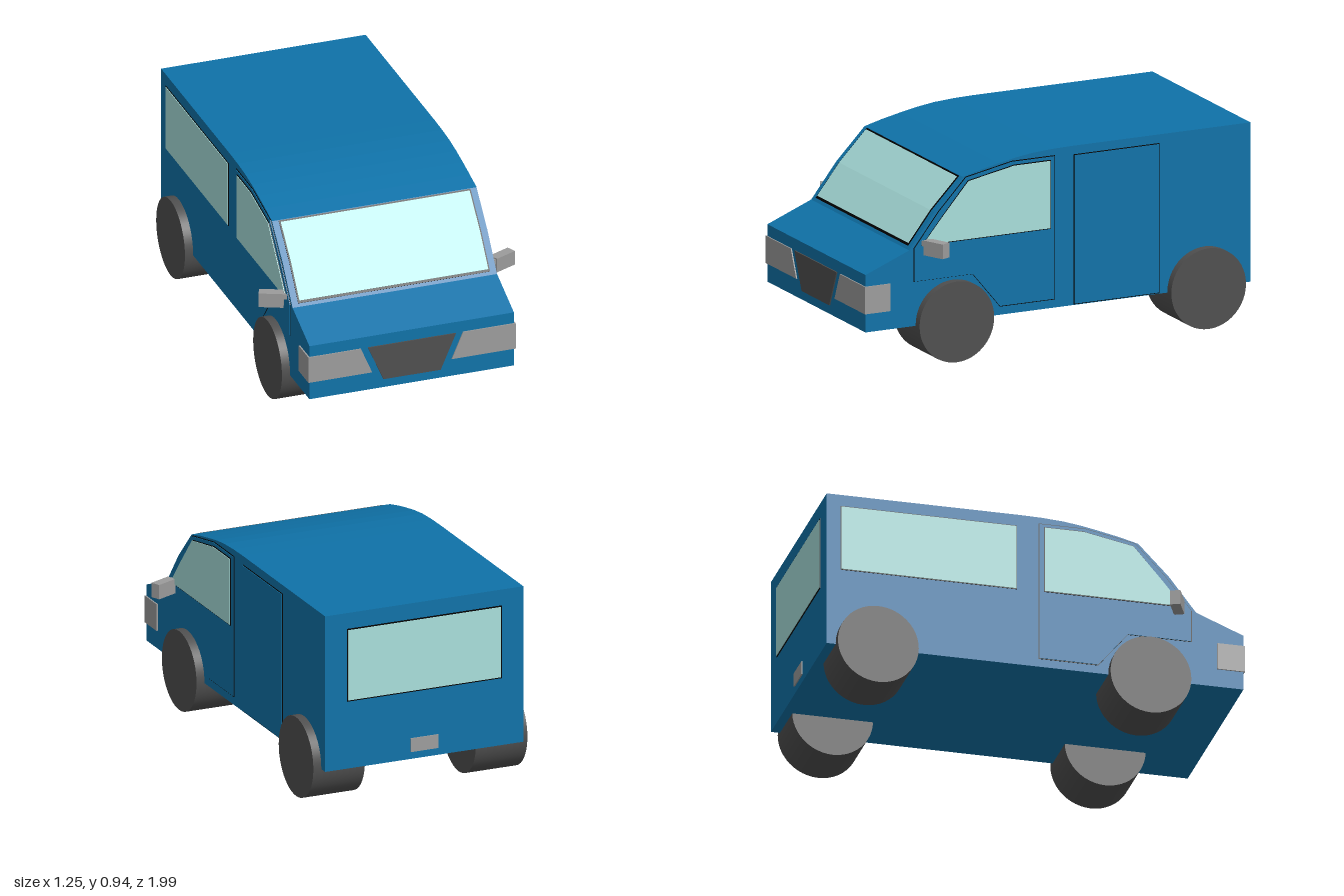
import * as THREE from 'three';

const mat = (color) => new THREE.MeshStandardMaterial({ color, flatShading: true });

// Polygon grown by w on each side of its bounding box
function grow(pts, w) {
  const axis = (i) => {
    const v = pts.map((p) => p[i]);
    const lo = Math.min(...v), hi = Math.max(...v);
    return [(lo + hi) / 2, (hi - lo + 2 * w) / (hi - lo)];
  };
  const [cx, sx] = axis(0), [cy, sy] = axis(1);
  return pts.map(([x, y]) => [cx + (x - cx) * sx, cy + (y - cy) * sy]);
}

// Prism from an (x, y) outline, spanning z0..z1
function prismZ(pts, z0, z1) {
  const shape = new THREE.Shape(pts.map(([x, y]) => new THREE.Vector2(x, y)));
  const geo = new THREE.ExtrudeGeometry(shape, { depth: z1 - z0, bevelEnabled: false });
  return geo.translate(0, 0, z0);
}

// Prism from a (z, y) outline, spanning x0..x1
const prismX = (pts, x0, x1) => prismZ(pts, -x1, -x0).rotateY(-Math.PI / 2);

const rect = (a0, b0, a1, b1) => [[a0, b0], [a1, b0], [a1, b1], [a0, b1]];

export function createModel() {
  const van = new THREE.Group();
  van.name = 'van';
  const blue = mat(0x0f72a8), glass = mat(0xa8dedb), black = mat(0x000000);
  const dark = mat(0x4f4f4f), grey = mat(0x9c9c9c);
  const add = (name, geo, material) => {
    const mesh = new THREE.Mesh(geo, material);
    mesh.name = name;
    van.add(mesh);
    return mesh;
  };

  // Body shell from the side profile
  const windscreenLine = [[0.765, 0.55], [0.636, 0.716], [0.49, 0.866]];
  add('body', prismX([
    [-0.99, 0.187], [0.99, 0.187], [0.99, 0.46], ...windscreenLine,
    [0.4, 0.889], [0.305, 0.909], [0.22, 0.925], [0.13, 0.937], [0.03, 0.943], [-0.07, 0.945], [-0.99, 0.945],
  ], -0.5, 0.5), blue);

  // Windscreen: thin strips that follow the profile
  const band = (line, t) => {
    const out = line.map(([z, y]) => [z + t * 0.75, y + t * 0.66]);
    return [...line, ...out.reverse()];
  };
  add('windscreenSeal', prismX(band([[0.755, 0.563], [0.636, 0.716], [0.492, 0.864]], 0.003), -0.469, 0.469), black);
  add('windscreen', prismX(band([[0.748, 0.572], [0.636, 0.716], [0.498, 0.858]], 0.006), -0.462, 0.462), glass);

  // Side panel on the +x or -x side, with a thin black gap around it
  const sidePanel = (name, pts, s, inner, material) => {
    const layer = (p, t) => (s > 0 ? prismX(p, 0.495, t) : prismX(p, -t, -0.495));
    add(name + 'Gap', layer(grow(pts, 0.004), inner), black);
    add(name, layer(pts, inner + 0.003), material);
  };
  const door = [[0.02, 0.23], [0.3, 0.23], [0.44, 0.4], [0.74, 0.4], [0.74, 0.555],
    [0.615, 0.715], [0.475, 0.862], [0.24, 0.908], [0.02, 0.908]];
  const doorWindow = [[0.045, 0.57], [0.7, 0.57], [0.6, 0.69], [0.465, 0.845], [0.23, 0.89], [0.045, 0.89]];

  for (const s of [-1, 1]) {
    const side = s > 0 ? 'left' : 'right';
    sidePanel(side + 'FrontDoor', door, s, 0.502, blue);
    sidePanel(side + 'FrontWindow', doorWindow, s, 0.508, glass);

    // Wheels
    for (const [end, z] of [['Front', 0.54], ['Rear', -0.755]]) {
      const wheel = add(side + end + 'Wheel', new THREE.CylinderGeometry(0.192, 0.192, 0.26, 48).rotateZ(Math.PI / 2),
        new THREE.MeshStandardMaterial({ color: 0x4f4f4f }));
      wheel.position.set(s * 0.41, 0.192, z);
    }

    // Headlamp wrapping the front corner
    const lamp = [[0.507, 0.275], [0.507, 0.405], [0.25, 0.405], [0.195, 0.275]];
    add(side + 'Headlamp', prismZ(lamp.map(([x, y]) => [x * s, y]), 0.865, 0.996), grey);

    // Swept-back mirror and its stalk
    const mirror = add(side + 'Mirror', new THREE.BoxGeometry(0.115, 0.07, 0.048), grey);
    mirror.position.set(s * 0.565, 0.56, 0.658);
    mirror.rotation.y = s * 0.42;
    const stalk = add(side + 'MirrorStalk', new THREE.BoxGeometry(0.05, 0.025, 0.03), grey);
    stalk.position.set(s * 0.51, 0.577, 0.685);
    stalk.rotation.y = s * 0.42;
  }

  // Sliding door on one side, long window on the other
  sidePanel('slidingDoor', rect(-0.516, 0.194, -0.085, 0.9), 1, 0.502, blue);
  sidePanel('rearSideWindow', rect(-0.92, 0.57, -0.09, 0.885), -1, 0.502, glass);

  // Grille
  add('grille', prismZ([[-0.14, 0.23], [0.14, 0.23], [0.215, 0.405], [-0.215, 0.405]], 0.98, 0.996), dark);

  // Rear window and plate
  const rearWindow = rect(-0.385, 0.52, 0.385, 0.862);
  add('rearWindowSeal', prismZ(grow(rearWindow, 0.006), -0.993, -0.98), black);
  add('rearWindow', prismZ(rearWindow, -0.996, -0.98), glass);
  add('rearPlate', prismZ(rect(-0.07, 0.222, 0.07, 0.288), -0.996, -0.98), grey);

  return van;
}
